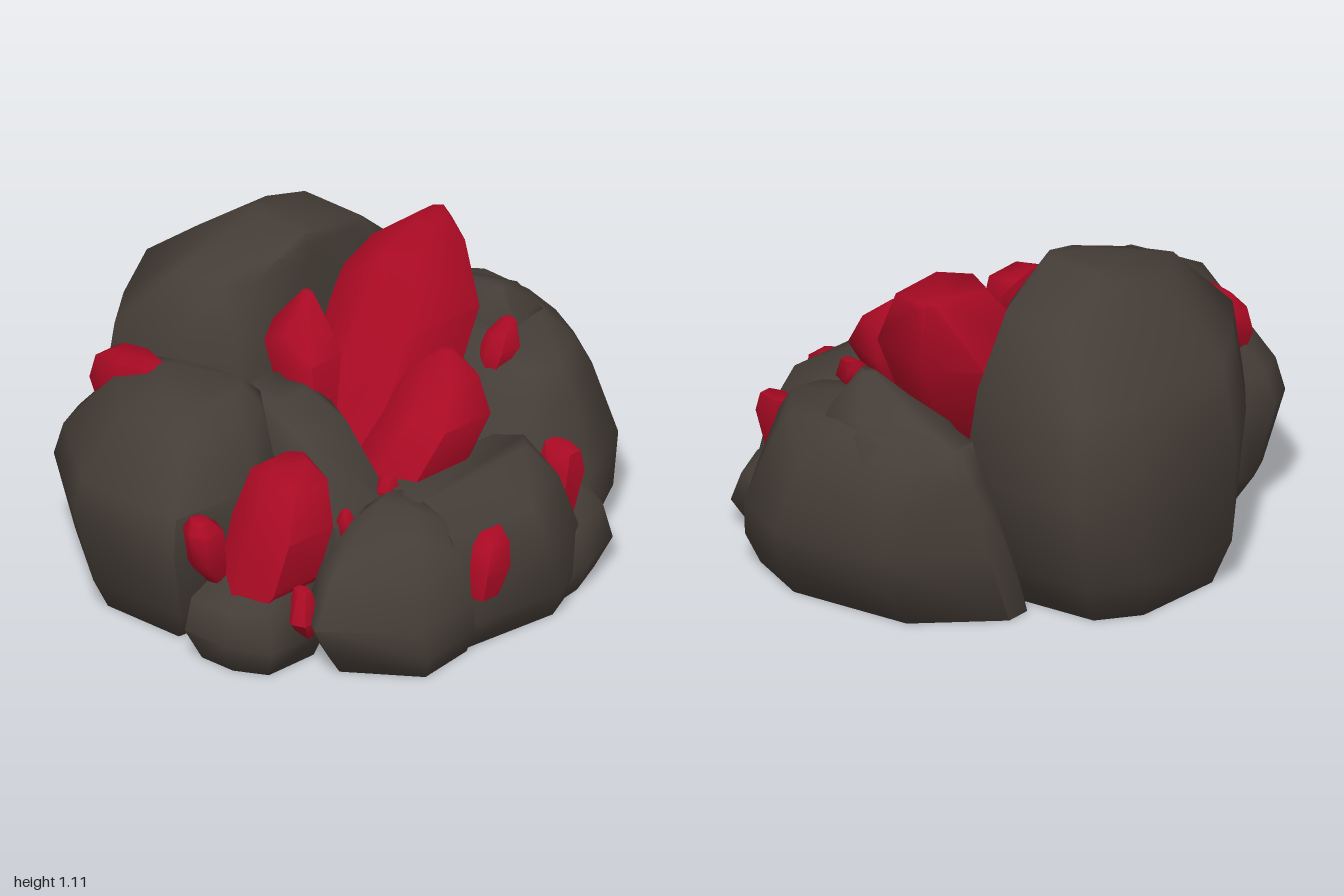
import * as THREE from 'three';
import { ConvexGeometry } from 'three/addons/geometries/ConvexGeometry.js';
import { toCreasedNormals } from 'three/addons/utils/BufferGeometryUtils.js';

const stone = new THREE.MeshStandardMaterial({ color: 0x453d37 });
stone.name = 'darkStone';
const crimson = new THREE.MeshStandardMaterial({ color: 0xa80a23 });
crimson.name = 'crimsonCrystal';

// Solid hull of one plan outline [x, z], fitted at each level into [y, xMin, xMax, zMin, zMax]
function stack(name, material, crease, outline, levels) {
  const box = new THREE.Box2().setFromPoints(outline.map(p => new THREE.Vector2(...p)));
  const size = box.getSize(new THREE.Vector2());
  const points = [];
  for (const [y, x0, x1, z0, z1] of levels) {
    for (const [x, z] of outline) {
      const u = (x - box.min.x) / size.x, v = (z - box.min.y) / size.y;
      points.push(new THREE.Vector3(x0 + u * (x1 - x0), y, z0 + v * (z1 - z0)));
    }
  }
  const mesh = new THREE.Mesh(toCreasedNormals(new ConvexGeometry(points), crease), material);
  mesh.name = name;
  return mesh;
}

const rock = (name, outline, levels) => stack(name, stone, 1.3, outline, levels);

// Crystals share one irregular six-sided section
const hexagon = [[0, 0.55], [0.22, 0], [0.78, 0], [1, 0.4], [0.8, 1], [0.18, 1]];
const crystal = (name, levels) => stack(name, crimson, 1.1, hexagon, levels);

export function createModel() {
  const group = new THREE.Group();
  group.name = 'crystalRocks';

  // Boulders around the cluster
  group.add(
    rock('backBoulder',
      [[-0.58, -0.6], [-0.4, -0.74], [-0.12, -0.91], [0.38, -0.89], [0.58, -0.78],
        [0.63, -0.35], [0.5, -0.28], [0.1, -0.2], [-0.36, -0.18], [-0.48, -0.35]],
      [[0, -0.4, 0.45, -0.84, -0.14], [0.17, -0.5, 0.56, -0.91, -0.12], [0.5, -0.58, 0.63, -0.91, -0.14],
        [0.82, -0.52, 0.58, -0.87, -0.18], [1.02, -0.37, 0.36, -0.62, -0.19],
        [1.07, -0.18, 0.2, -0.55, -0.2], [1.11, 0.02, 0.08, -0.47, -0.22]]),
    rock('rightBoulder',
      [[-1, -0.26], [-0.78, -0.6], [-0.65, -0.66], [-0.52, -0.62], [-0.4, -0.2],
        [-0.36, 0.05], [-0.45, 0.18], [-0.6, 0.22], [-0.95, 0.19]],
      [[0, -0.88, -0.4, -0.5, 0.12], [0.12, -0.94, -0.38, -0.58, 0.2], [0.4, -1, -0.36, -0.66, 0.22],
        [0.52, -0.97, -0.36, -0.63, 0.2], [0.74, -0.83, -0.37, -0.45, 0.1], [0.8, -0.7, -0.43, -0.28, 0.02]]),
    rock('leftBoulder',
      [[0.27, 0.15], [0.4, -0.2], [0.62, -0.5], [0.72, -0.5], [0.96, -0.23],
        [1, 0.25], [0.88, 0.5], [0.6, 0.68], [0.42, 0.62], [0.29, 0.45]],
      [[0, 0.15, 0.87, -0.49, 0.64], [0.12, 0.17, 0.93, -0.49, 0.67], [0.28, 0.24, 1, -0.49, 0.61],
        [0.53, 0.36, 0.93, -0.42, 0.49], [0.63, 0.44, 0.87, -0.37, 0.42], [0.67, 0.52, 0.85, -0.3, 0.2]]),
    rock('leftBoulderRidge',
      [[0.5, 0.1], [0.6, -0.42], [0.75, -0.42], [0.93, -0.1], [0.85, 0.15], [0.6, 0.2]],
      [[0.4, 0.5, 0.93, -0.4, 0.2], [0.65, 0.56, 0.87, -0.36, 0.19], [0.7, 0.59, 0.82, -0.2, 0.17],
        [0.8, 0.63, 0.67, 0.05, 0.11]]),
    rock('frontLeftRock',
      [[-0.2, 0.45], [-0.2, 0.85], [0.17, 0.88], [0.4, 0.76], [0.45, 0.6], [0.36, 0.42]],
      [[0, -0.2, 0.5, 0.35, 0.85], [0.1, -0.2, 0.52, 0.35, 0.88], [0.3, -0.2, 0.44, 0.38, 0.86],
        [0.42, -0.2, 0.41, 0.42, 0.8], [0.49, -0.2, 0.38, 0.43, 0.62]]),
    rock('lowFrontRock',
      [[0.15, 0.5], [0.17, 0.84], [0.42, 0.8], [0.6, 0.72], [0.67, 0.56], [0.5, 0.45]],
      [[0, 0.15, 0.58, 0.45, 0.82], [0.1, 0.13, 0.66, 0.45, 0.85], [0.21, 0.15, 0.65, 0.45, 0.79],
        [0.28, 0.2, 0.6, 0.45, 0.66]]),
    rock('frontRightRock',
      [[-0.72, 0.64], [-0.47, 0.9], [-0.18, 0.86], [-0.17, 0.5], [-0.45, 0.45], [-0.66, 0.52]],
      [[0, -0.6, -0.18, 0.48, 0.87], [0.09, -0.66, -0.17, 0.46, 0.91], [0.2, -0.71, -0.17, 0.45, 0.9],
        [0.36, -0.62, -0.17, 0.46, 0.85], [0.46, -0.44, -0.17, 0.46, 0.74], [0.49, -0.28, -0.18, 0.48, 0.64]]),
    rock('sideRock',
      [[-0.94, 0.25], [-0.92, 0.42], [-0.84, 0.55], [-0.6, 0.55], [-0.5, 0.3], [-0.7, 0.18]],
      [[0, -0.88, -0.5, 0.2, 0.5], [0.12, -0.94, -0.48, 0.16, 0.56], [0.24, -0.91, -0.48, 0.17, 0.52],
        [0.33, -0.75, -0.5, 0.2, 0.45]]),
    rock('middleRock',
      [[-0.42, 0.1], [-0.38, -0.1], [-0.23, -0.12], [-0.17, 0.1], [-0.15, 0.3], [-0.2, 0.5], [-0.4, 0.46]],
      [[0.1, -0.48, -0.12, -0.16, 0.5], [0.42, -0.47, -0.14, -0.16, 0.5], [0.67, -0.42, -0.16, -0.14, 0.25],
        [0.73, -0.38, -0.2, -0.1, 0.08]]),
  );

  // Large leaning crystals
  group.add(
    crystal('mainCrystal', [[0.35, -0.25, 0.28, -0.15, 0.26], [0.5, -0.17, 0.38, -0.2, 0.23],
      [0.82, 0.05, 0.58, -0.28, 0.18], [1.03, 0.21, 0.57, -0.16, 0.08], [1.06, 0.45, 0.57, -0.13, -0.07]]),
    crystal('centreCrystal', [[0.35, -0.22, 0.12, 0.2, 0.48], [0.5, -0.17, 0.2, 0.2, 0.5],
      [0.63, -0.04, 0.3, 0.2, 0.5], [0.75, 0.08, 0.28, 0.22, 0.43], [0.82, 0.18, 0.22, 0.3, 0.34]]),
    crystal('upperCrystal', [[0.5, -0.22, -0.1, -0.05, 0.1], [0.8, -0.25, -0.03, -0.17, 0.08],
      [0.87, -0.2, -0.03, -0.17, 0.02], [0.97, -0.08, -0.05, -0.12, -0.08]]),
    crystal('rightCrystal', [[0.2, -0.86, -0.55, 0.22, 0.45], [0.3, -0.83, -0.5, 0.2, 0.5],
      [0.47, -0.76, -0.43, 0.2, 0.5], [0.63, -0.67, -0.43, 0.22, 0.45], [0.66, -0.6, -0.45, 0.26, 0.36]]),
    crystal('backCrystal', [[0.55, -0.66, -0.53, -0.53, -0.4], [0.66, -0.68, -0.51, -0.57, -0.33],
      [0.75, -0.67, -0.5, -0.55, -0.28], [0.79, -0.65, -0.52, -0.49, -0.29]]),
  );

  // Small crystals between and on the rocks
  const smallCrystals = [
    [[0.28, -0.84, -0.78, 0.2, 0.28], [0.36, -0.91, -0.78, 0.18, 0.3], [0.49, -0.93, -0.79, 0.18, 0.3], [0.53, -0.9, -0.84, 0.2, 0.26]],
    [[0.12, -0.68, -0.62, 0.5, 0.56], [0.2, -0.74, -0.62, 0.5, 0.6], [0.3, -0.69, -0.64, 0.5, 0.56]],
    [[0.2, -0.17, -0.06, 0.78, 0.88], [0.3, -0.17, 0, 0.75, 0.89], [0.38, -0.13, 0.01, 0.74, 0.87], [0.41, -0.08, 0.01, 0.76, 0.82]],
    [[0.25, 0.36, 0.45, 0.56, 0.7], [0.4, 0.37, 0.5, 0.56, 0.71], [0.47, 0.41, 0.49, 0.56, 0.69]],
    [[0.6, 0.44, 0.5, 0.2, 0.28], [0.68, 0.44, 0.58, 0.19, 0.3], [0.72, 0.48, 0.58, 0.19, 0.28], [0.76, 0.54, 0.58, 0.21, 0.26]],
    [[0.42, -0.22, -0.16, 0.42, 0.47], [0.48, -0.24, -0.15, 0.4, 0.48], [0.52, -0.21, -0.16, 0.42, 0.46]],
    [[0.38, -0.43, -0.39, 0.45, 0.49], [0.44, -0.44, -0.38, 0.44, 0.5], [0.48, -0.42, -0.39, 0.45, 0.48]],
  ];
  smallCrystals.forEach((levels, i) => group.add(crystal(`smallCrystal${i + 1}`, levels)));

  return group;
}
